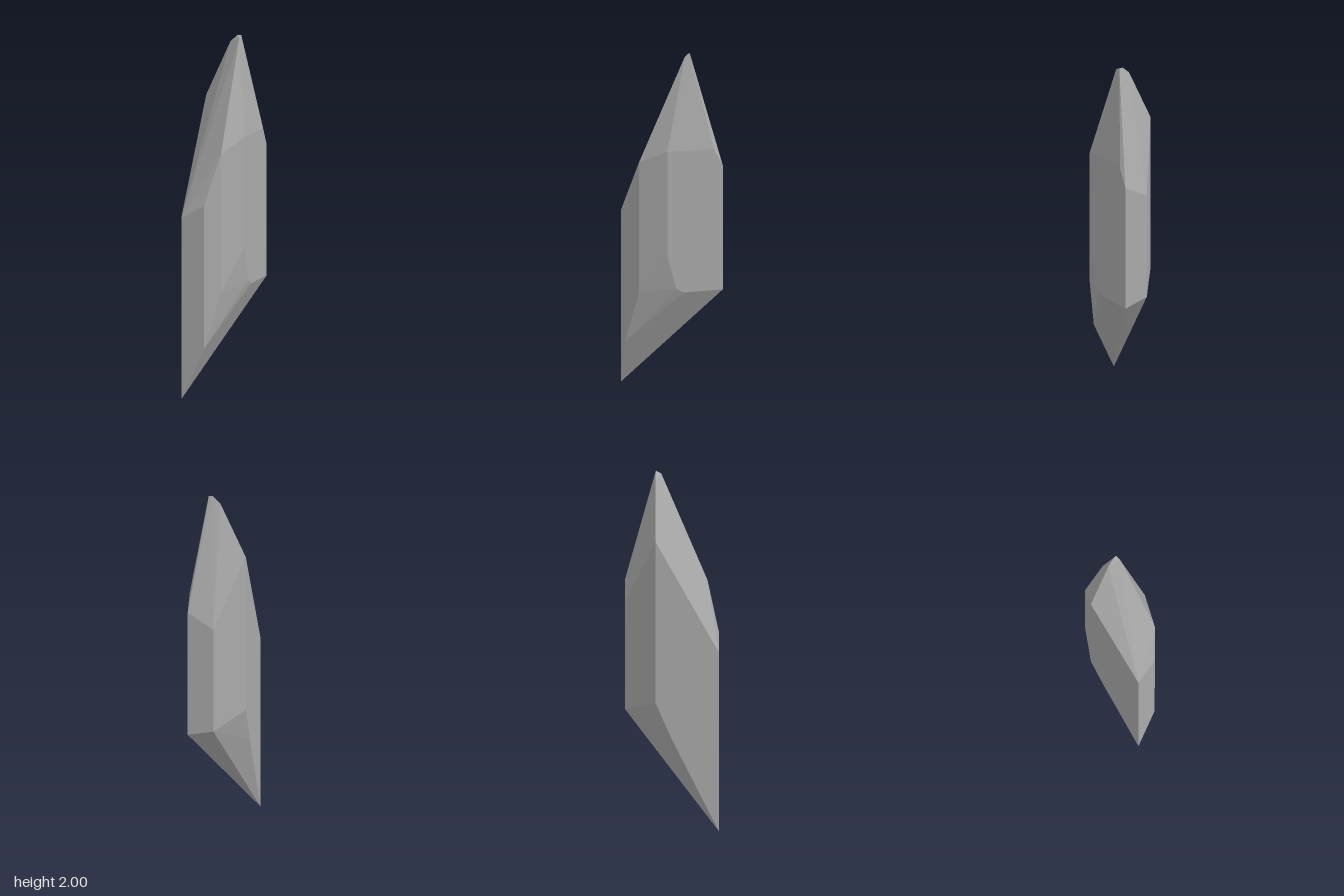
import * as THREE from 'three';
import { ConvexGeometry } from 'three/addons/geometries/ConvexGeometry.js';

export function createModel() {
  const stone = new THREE.MeshStandardMaterial({ color: 0xaaaaaa });
  stone.name = 'grey stone';

  // Vertical edges of the shaft: x, z, bottom y, top y
  const shaft = [
    [-0.145, 0.26, 0, 1.02],
    [-0.01, 0.26, 0.29, 1.095],
    [0.065, 0.195, 0.605, 1.378],
    [0.145, 0.05, 0.84, 1.46],
    [0.145, -0.26, 0.625, 1.36],
    [0, -0.26, 0.658, 1.273],
    [-0.145, -0.09, 0.73, 1.65],
  ];

  // Extra corners of the tip and of the cut lower end: x, y, z
  const tip = [
    [0, 1.96, -0.09], [0.043, 2, -0.09], [0.065, 2, -0.09],
    [0.065, 1.985, -0.06], [0.145, 1.46, -0.21],
  ];
  const lowerEnd = [
    [0.145, 0.645, 0], [0.145, 0.62, -0.04], [-0.145, 0.514, 0.005],
  ];

  const corners = [...tip, ...lowerEnd].map((p) => new THREE.Vector3(...p));
  for (const [x, z, bottom, top] of shaft) {
    corners.push(new THREE.Vector3(x, bottom, z), new THREE.Vector3(x, top, z));
  }

  // One faceted crystal spanning all corners
  const crystal = new THREE.Mesh(new ConvexGeometry(corners), stone);
  crystal.name = 'crystalShard';

  const group = new THREE.Group();
  group.name = 'crystal';
  group.add(crystal);
  return group;
}
